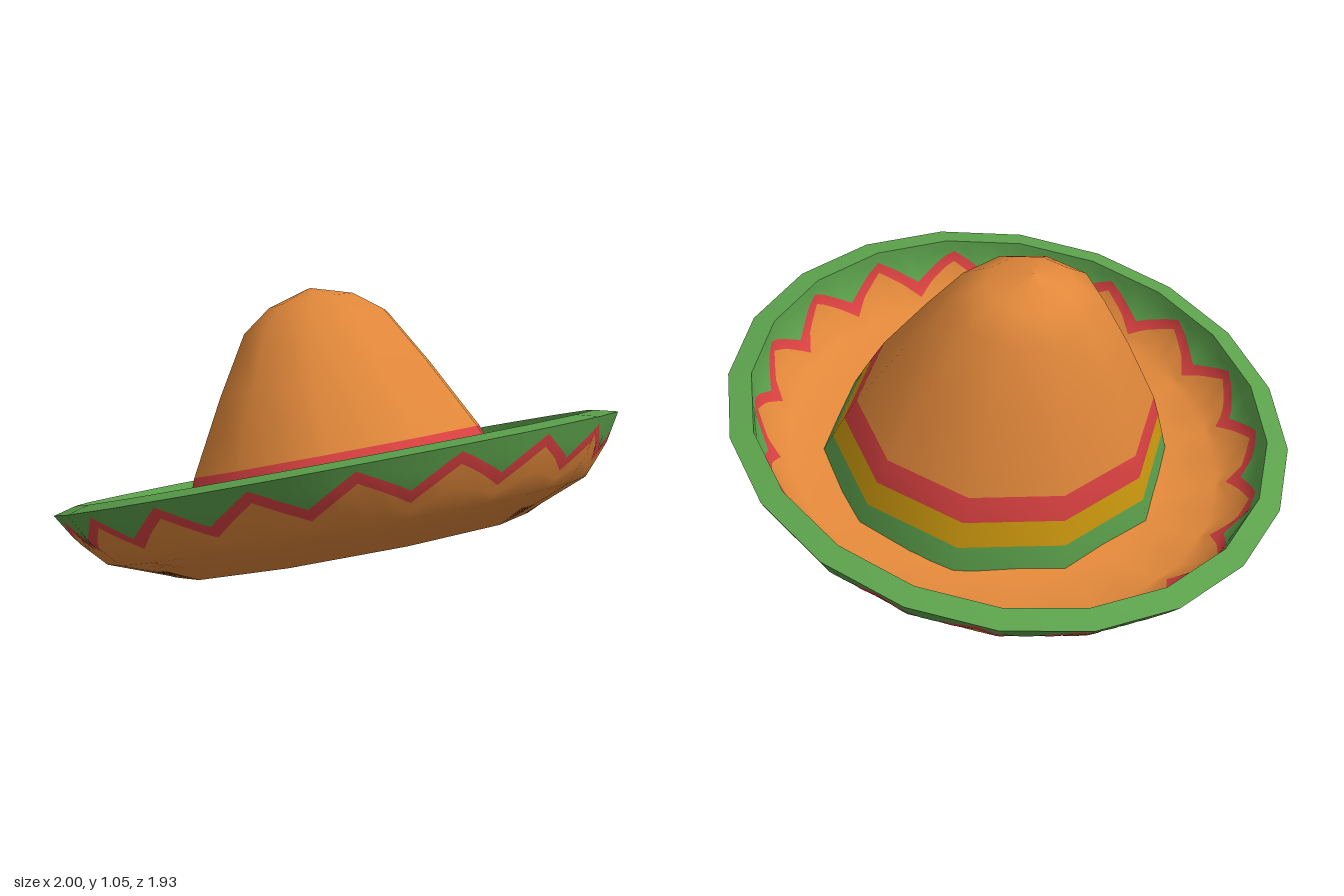
import * as THREE from 'three';

const TAU = Math.PI * 2, DEG = Math.PI / 180;
const mat = (name, color) => {
  const m = new THREE.MeshStandardMaterial({ color, side: THREE.DoubleSide });
  m.name = name;
  return m;
};

// Radius factor that turns a circle into an n-sided polygon
const polygon = (a, n, phase) => {
  const step = TAU / n;
  const d = (((a - phase) % step) + step) % step;
  return Math.cos(step / 2) / Math.cos(d - step / 2);
};

// Radius at height y on a wall given as [y, r] pairs from top to bottom
const radiusAt = (wall, y) => {
  for (let i = 1; i < wall.length; i++) {
    const [y0, r0] = wall[i - 1], [y1, r1] = wall[i];
    if (y >= y1 || i === wall.length - 1) return r0 + (r1 - r0) * (y - y0) / (y1 - y0);
  }
};

// Closed rings joined in order; each strip between two rings takes a material index.
// Normals come from the round shape, so the polygonal outline is shaded smoothly.
function loft(rings, strips, count, start = 0) {
  const round = [], faceted = [], index = [];
  for (const ring of rings) {
    for (let j = 0; j < count; j++) {
      const a = start + (j / count) * TAU;
      const { rx, rz = rx, y, cz = 0, sides, phase = 0 } = ring(a);
      const k = sides ? polygon(a, sides, phase) : 1;
      round.push(rx * Math.cos(a), y, cz + rz * Math.sin(a));
      faceted.push(rx * k * Math.cos(a), y, cz + rz * k * Math.sin(a));
    }
  }
  const geo = new THREE.BufferGeometry();
  strips.forEach((material, i) => {
    geo.addGroup(index.length, count * 6, material);
    for (let j = 0; j < count; j++) {
      const a = i * count + j, b = i * count + (j + 1) % count;
      index.push(a, b, a + count, b, b + count, a + count);
    }
  });
  geo.setIndex(index);
  geo.setAttribute('position', new THREE.Float32BufferAttribute(round, 3));
  geo.computeVertexNormals();
  geo.setAttribute('position', new THREE.Float32BufferAttribute(faceted, 3));
  return geo;
}

// Zigzag height: 18 teeth with a peak at the front
const zigzag = (a) => {
  const t = (((a / DEG - 90) / 20) % 1 + 1) % 1;
  return -0.11 + 0.09 * Math.abs(t * 2 - 1);
};

export function createModel() {
  const materials = [
    mat('orange felt', 0xe0873a), mat('green trim', 0x5ba04b),
    mat('red trim', 0xd84040), mat('yellow band', 0xcc980e),
  ];
  const [ORANGE, GREEN, RED, YELLOW] = [0, 1, 2, 3];

  const hat = new THREE.Group();
  hat.name = 'hat';
  hat.position.y = 0.45;
  hat.rotation.x = -0.264;
  const add = (name, geo) => {
    const mesh = new THREE.Mesh(geo, materials);
    mesh.name = name;
    hat.add(mesh);
  };

  const ring20 = (rx, y) => () => ({ rx, y, sides: 20 });
  const ring10 = (rx, y) => () => ({ rx, y, sides: 10, phase: 9 * DEG });

  // Rings of a brim wall: lip, zigzag top, zigzag bottom, foot, with steps between
  const wallRings = (wall) => {
    const top = wall[0][0], foot = wall[wall.length - 1][0];
    const at = (f) => (a) => {
      const y = f(zigzag(a));
      return { rx: radiusAt(wall, y), y, sides: 20 };
    };
    return [
      at(() => top), at((z) => (top + z) / 2), at((z) => z), at((z) => z - 0.038),
      at((z) => (z - 0.038 + foot) / 2), at(() => foot),
    ];
  };
  const wallColours = [GREEN, GREEN, RED, ORANGE, ORANGE];

  // Brim outside and underside, in to the head opening
  const outer = wallRings([[0, 1], [-0.1, 0.94], [-0.2, 0.85]]);
  add('brimUnderside', loft(
    [...outer, ring10(0.63, -0.295), ring10(0.3, -0.195)],
    [...wallColours, ORANGE, ORANGE], 360));

  // Brim upper side, from the opening out to the lip
  const inner = wallRings([[0.02, 0.92], [-0.05, 0.9], [-0.11, 0.86], [-0.175, 0.78]]);
  add('brimTop', loft(
    [ring10(0.3, -0.195), ring10(0.6, -0.225), ...inner.reverse()],
    [ORANGE, ORANGE, ...[...wallColours].reverse()], 360));

  // Flat green lip
  add('brimLip', loft([ring20(0.92, 0.02), ring20(1, 0)], [GREEN], 20));

  // Ten-sided oval crown with its three bands: [y, x radius, z radius]
  const crown = [
    [0.62, 0, 0], [0.573, 0.165, 0.146], [0.498, 0.275, 0.24], [0.295, 0.405, 0.353],
    [0.04, 0.55, 0.485], [-0.048, 0.585, 0.52], [-0.137, 0.617, 0.555], [-0.23, 0.65, 0.588],
  ];
  add('crown', loft(
    crown.map(([y, rx, rz]) => () => ({ rx, rz, y, cz: 0.032 })),
    [ORANGE, ORANGE, ORANGE, ORANGE, RED, YELLOW, GREEN], 10, -9 * DEG));

  const model = new THREE.Group();
  model.name = 'wideBrimHat';
  model.add(hat);
  return model;
}
